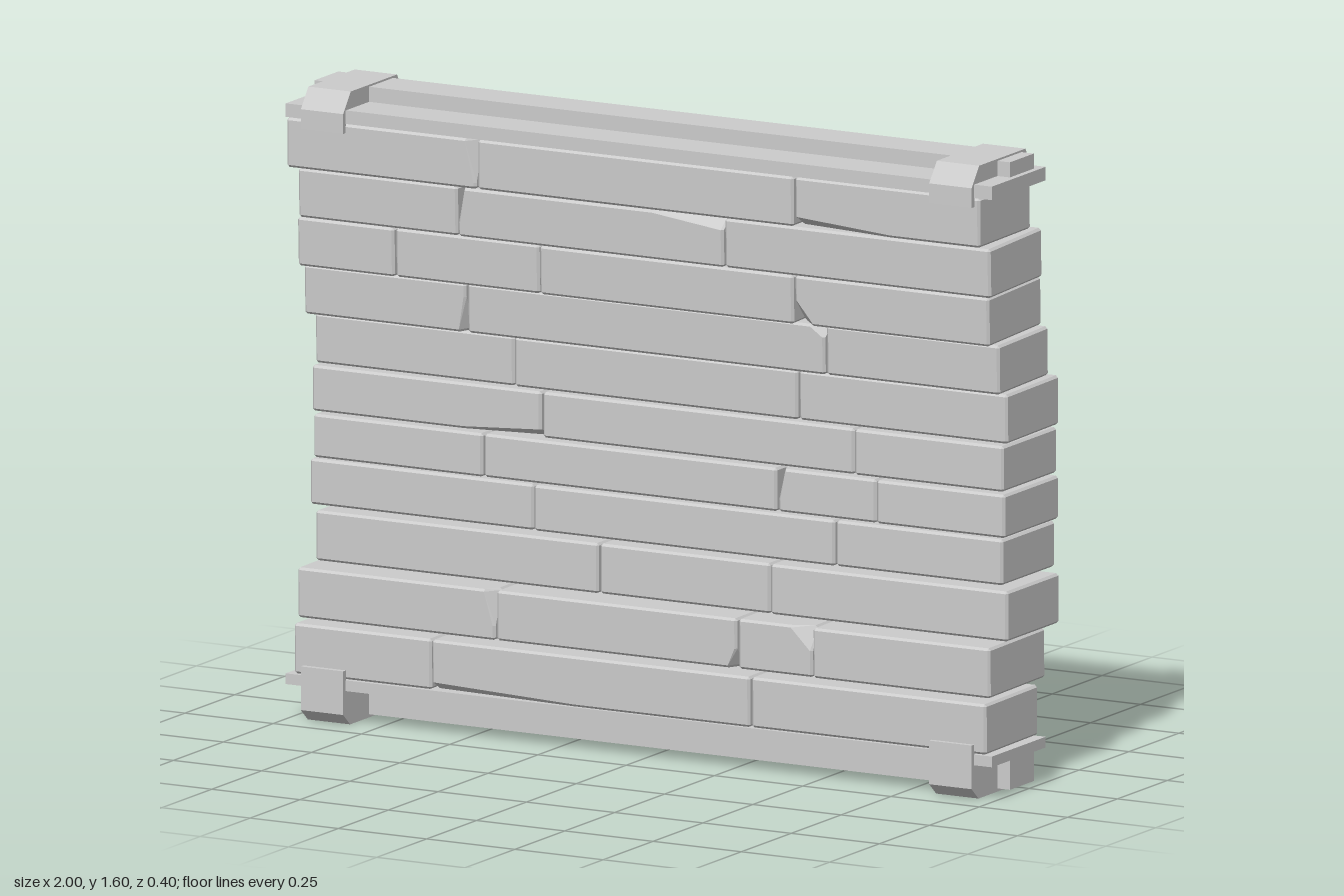
import * as THREE from 'three';
import { ConvexGeometry } from 'three/addons/geometries/ConvexGeometry.js';

const mat = new THREE.MeshStandardMaterial({ color: 0xcccccc, flatShading: true });

// Courses from top to bottom: y range, z range, tilt, plank ends along x
const rows = [
  { y: [1.393, 1.518], z: [-0.078, 0.188], tilt: 0.01, x: [-1, -0.46, 0.438, 0.965] },
  { y: [1.265, 1.389], z: [-0.107, 0.16], tilt: 0.03, x: [-0.985, -0.53, 0.225, 0.98] },
  { y: [1.138, 1.261], z: [-0.13, 0.14], tilt: 0.03, x: [-0.997, -0.72, -0.31, 0.412, 0.965] },
  { y: [1.01, 1.134], z: [-0.15, 0.108], tilt: 0.02, x: [-0.995, -0.533, 0.482, 0.975] },
  { y: [0.882, 1.006], z: [-0.183, 0.083], tilt: 0.01, x: [-0.98, -0.413, 0.392, 0.985] },
  { y: [0.757, 0.872], z: [-0.197, 0.075], tilt: 0, x: [-0.993, -0.34, 0.545, 0.97] },
  { y: [0.642, 0.751], z: [-0.194, 0.08], tilt: 0, x: [-0.985, -0.502, 0.33, 0.61, 0.977] },
  { y: [0.522, 0.637], z: [-0.19, 0.08], tilt: 0, x: [-0.997, -0.36, 0.495, 0.97] },
  { y: [0.382, 0.508], z: [-0.182, 0.08], tilt: 0, x: [-0.98, -0.175, 0.31, 0.985] },
  { y: [0.25, 0.376], z: [-0.138, 0.142], tilt: 0.01, x: [-0.995, -0.432, 0.252, 0.465, 0.97] },
  { y: [0.118, 0.245], z: [-0.078, 0.19], tilt: 0.01, x: [-0.98, -0.587, 0.317, 0.985] },
];

// Chipped corners, keyed by row-plank: corner signs, then cut length along x, y, z
const chips = {
  '0-0': [[1, 1, 1, 0.03, 0.11, 0.04]],
  '0-2': [[-1, -1, 1, 0.27, 0.025, 0.04]],
  '1-1': [[-1, 1, 1, 0.02, 0.09, 0.04], [1, 1, 1, 0.2, 0.03, 0.04], [1, 1, -1, 0.3, 0.03, 0.05]],
  '2-1': [[-1, 1, -1, 0.1, 0.07, 0.03]],
  '2-3': [[-1, -1, 1, 0.05, 0.06, 0.05]],
  '3-0': [[1, -1, 1, 0.02, 0.09, 0.04]],
  '3-1': [[1, 1, 1, 0.04, 0.03, 0.04], [1, -1, -1, 0.04, 0.08, 0.04]],
  '5-0': [[1, -1, 1, 0.22, 0.02, 0.04]],
  '5-1': [[-1, 1, -1, 0.35, 0.025, 0.06]],
  '6-2': [[-1, 1, 1, 0.02, 0.08, 0.04]],
  '6-3': [[-1, -1, -1, 0.04, 0.07, 0.03]],
  '8-1': [[-1, 1, -1, 0.15, 0.03, 0.06]],
  '9-0': [[1, 1, 1, 0.03, 0.09, 0.04]],
  '9-1': [[1, -1, 1, 0.025, 0.05, 0.04], [-1, -1, -1, 0.05, 0.08, 0.04]],
  '9-2': [[1, 1, 1, 0.06, 0.06, 0.03]],
  '10-1': [[-1, -1, 1, 0.4, 0.02, 0.03]],
};

// Bevelled block of half sizes X, Y, Z with optional chipped corners
function blockGeometry(X, Y, Z, cuts = [], b = 0.006) {
  const pts = [];
  for (const sx of [-1, 1]) for (const sy of [-1, 1]) for (const sz of [-1, 1]) {
    const cut = cuts.find(c => c[0] === sx && c[1] === sy && c[2] === sz);
    const [cx, cy, cz] = cut ? cut.slice(3) : [b, b, b];
    const add = (dx, dy, dz) =>
      pts.push(new THREE.Vector3(sx * (X - dx), sy * (Y - dy), sz * (Z - dz)));
    if (cut) {
      add(cx, b, 0); add(cx, 0, b);
      add(b, cy, 0); add(0, cy, b);
      add(b, 0, cz); add(0, b, cz);
    } else {
      add(0, b, b); add(b, 0, b); add(b, b, 0);
    }
  }
  return new ConvexGeometry(pts);
}

function addBox(parent, name, x, y, z) {
  const mesh = new THREE.Mesh(new THREE.BoxGeometry(x[1] - x[0], y[1] - y[0], z[1] - z[0]), mat);
  mesh.position.set((x[0] + x[1]) / 2, (y[0] + y[1]) / 2, (z[0] + z[1]) / 2);
  mesh.name = name;
  parent.add(mesh);
}

// Strap with chamfered corners and two legs; profile points are [z, y]
function addClamp(parent, name, x, profile) {
  const shape = new THREE.Shape(profile.map(([z, y]) => new THREE.Vector2(-z, y)));
  const geo = new THREE.ExtrudeGeometry(shape, { depth: 0.12, bevelEnabled: false });
  geo.translate(0, 0, -0.06);
  geo.rotateY(Math.PI / 2);
  const mesh = new THREE.Mesh(geo, mat);
  mesh.position.x = x;
  mesh.name = name;
  parent.add(mesh);
}

export function createModel() {
  const model = new THREE.Group();
  model.name = 'plankWall';

  // Planks in a wall that bows backwards in the middle
  const planks = new THREE.Group();
  planks.name = 'planks';
  rows.forEach((row, r) => {
    const course = new THREE.Group();
    course.name = `course${r + 1}`;
    course.position.set(0, (row.y[0] + row.y[1]) / 2, (row.z[0] + row.z[1]) / 2);
    course.rotation.x = row.tilt;
    for (let i = 0; i < row.x.length - 1; i++) {
      const a = row.x[i] + 0.002, b = row.x[i + 1] - 0.002;
      const inset = ((r * 2 + i) % 3) * 0.002;
      const geo = blockGeometry((b - a) / 2, (row.y[1] - row.y[0]) / 2,
        (row.z[1] - row.z[0]) / 2 - inset, chips[`${r}-${i}`]);
      const plank = new THREE.Mesh(geo, mat);
      plank.position.x = (a + b) / 2;
      plank.name = `plank${i + 1}`;
      course.add(plank);
    }
    planks.add(course);
  });
  model.add(planks);

  // Top rail: flat plate with a narrower bar on it
  const top = new THREE.Group();
  top.name = 'topRail';
  addBox(top, 'topPlate', [-1, 1], [1.518, 1.552], [-0.083, 0.187]);
  addBox(top, 'topBar', [-0.985, 0.985], [1.55, 1.59], [-0.05, 0.07]);

  // Bottom rail: the same with a taller bar
  const bottom = new THREE.Group();
  bottom.name = 'bottomRail';
  addBox(bottom, 'bottomPlate', [-1, 1], [0.088, 0.115], [-0.083, 0.187]);
  addBox(bottom, 'bottomBar', [-0.985, 0.985], [0.008, 0.09], [-0.05, 0.07]);

  // Clamps near both ends of each rail
  for (const s of [-1, 1]) {
    const side = s > 0 ? 'left' : 'right';
    addClamp(top, `${side}TopClamp`, s * 0.89, [
      [0.2, 1.495], [0.2, 1.545], [0.162, 1.595], [-0.07, 1.595], [-0.09, 1.56],
      [-0.09, 1.495], [-0.078, 1.495], [-0.078, 1.54], [0.185, 1.54], [0.185, 1.495]]);
    addClamp(bottom, `${side}BottomClamp`, s * 0.89, [
      [0.2, 0.14], [0.2, 0.03], [0.165, 0], [-0.06, 0], [-0.085, 0.03],
      [-0.092, 0.14], [-0.078, 0.14], [-0.078, 0.1], [0.185, 0.1], [0.185, 0.14]]);
  }
  model.add(top, bottom);
  return model;
}
